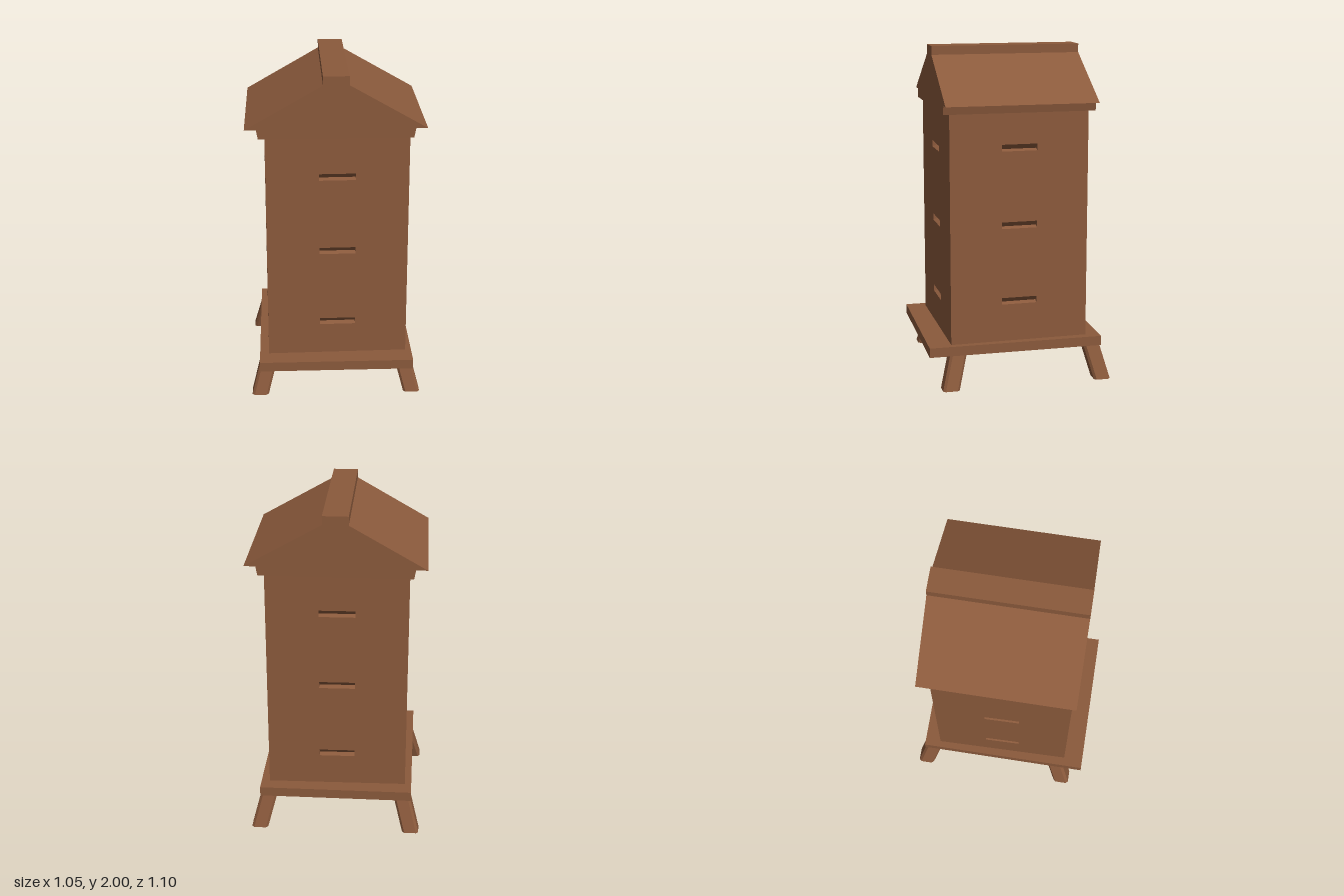
import * as THREE from 'three';

const wood = new THREE.MeshStandardMaterial({ color: 0x8b5a3c });
wood.name = 'brown wood';

function part(name, geometry, parent) {
  const mesh = new THREE.Mesh(geometry, wood);
  mesh.name = name;
  parent.add(mesh);
  return mesh;
}

function polygon(points) {
  return new THREE.Shape(points.map(([x, y]) => new THREE.Vector2(x, y)));
}

const HALF = 0.4175, FLOOR = 0.255, EAVE = 1.645;
const SLOT_W = 0.107, SLOT_H = 0.04, SLOT_DEPTH = 0.03;

// Wall with three rectangular openings, facing +z
function wallGeometry(slots) {
  const shape = polygon([[-HALF, FLOOR], [HALF, FLOOR], [HALF, EAVE], [-HALF, EAVE]]);
  for (const y of slots) {
    const a = y - SLOT_H / 2, b = y + SLOT_H / 2;
    shape.holes.push(polygon([[-SLOT_W, a], [-SLOT_W, b], [SLOT_W, b], [SLOT_W, a]]));
  }
  return new THREE.ShapeGeometry(shape);
}

// Wedge-shaped recess behind an opening: sloping ceiling, short floor, two ends
function slotGeometry(y) {
  const w = SLOT_W, top = y + SLOT_H / 2, low = y - SLOT_H / 2, inner = low + 0.01;
  const A = [-w, top, 0], B = [w, top, 0], C = [w, inner, -SLOT_DEPTH];
  const D = [-w, inner, -SLOT_DEPTH], E = [-w, low, 0], F = [w, low, 0];
  const corners = [D, C, B, D, B, A, E, F, C, E, C, D, A, E, D, B, C, F];
  const g = new THREE.BufferGeometry();
  g.setAttribute('position', new THREE.Float32BufferAttribute(corners.flat(), 3));
  g.computeVertexNormals();
  return g;
}

// Square leg with chamfered edges, sheared outward toward the ground
function legGeometry(sx, sz) {
  const h = 0.05, c = 0.014, height = 0.21;
  const g = new THREE.ExtrudeGeometry(polygon([
    [-h + c, -h], [h - c, -h], [h, -h + c], [h, h - c],
    [h - c, h], [-h + c, h], [-h, h - c], [-h, -h + c],
  ]), { depth: height, bevelEnabled: false });
  g.rotateX(-Math.PI / 2);
  const p = g.attributes.position;
  for (let i = 0; i < p.count; i++) {
    const spread = 0.053 * (1 - p.getY(i) / 0.2);
    p.setX(i, p.getX(i) + sx * spread);
    p.setZ(i, p.getZ(i) + sz * spread);
  }
  g.computeVertexNormals();
  return g;
}

export function createModel() {
  const model = new THREE.Group();
  model.name = 'hive';

  // Roof: gable, eaves and ridge cap in one profile
  const half = [[0.445, 1.638], [0.455, 1.692], [0.523, 1.692], [0.075, 1.948], [0.075, 2]];
  const mirrored = half.map(([x, y]) => [-x, y]).reverse();
  const roof = part('roof', new THREE.ExtrudeGeometry(
    polygon([...half, ...mirrored]), { depth: 0.905, bevelEnabled: false }), model);
  roof.position.set(-0.002, 0, -0.45);

  // Body: four slotted walls, turned very slightly on the base
  const body = new THREE.Group();
  body.name = 'body';
  body.position.z = 0.007;
  body.rotation.y = 0.018;
  model.add(body);
  ['front', 'left', 'back', 'right'].forEach((side, i) => {
    const slots = [0, 1, 2].map(k => (i === 1 ? 0.507 : 0.469) + k * 0.462);
    const wall = new THREE.Group();
    wall.name = side + 'Wall';
    wall.rotation.y = i * Math.PI / 2;
    body.add(wall);
    part(side + 'Panel', wallGeometry(slots), wall).position.z = HALF;
    for (const y of slots) part(side + 'Slot', slotGeometry(y), wall).position.z = HALF;
  });

  // Base board, longer at the front as a landing step
  part('baseBoard', new THREE.BoxGeometry(0.925, 0.058, 1.055), model)
    .position.set(-0.002, 0.231, 0.025);

  // Splayed legs
  for (const sx of [-1, 1]) {
    for (const sz of [-1, 1]) {
      const name = (sz > 0 ? 'front' : 'back') + (sx > 0 ? 'Left' : 'Right') + 'Leg';
      part(name, legGeometry(sx, sz), model)
        .position.set(sx * 0.411 - 0.002, 0, sz > 0 ? 0.379 : -0.447);
    }
  }
  return model;
}
